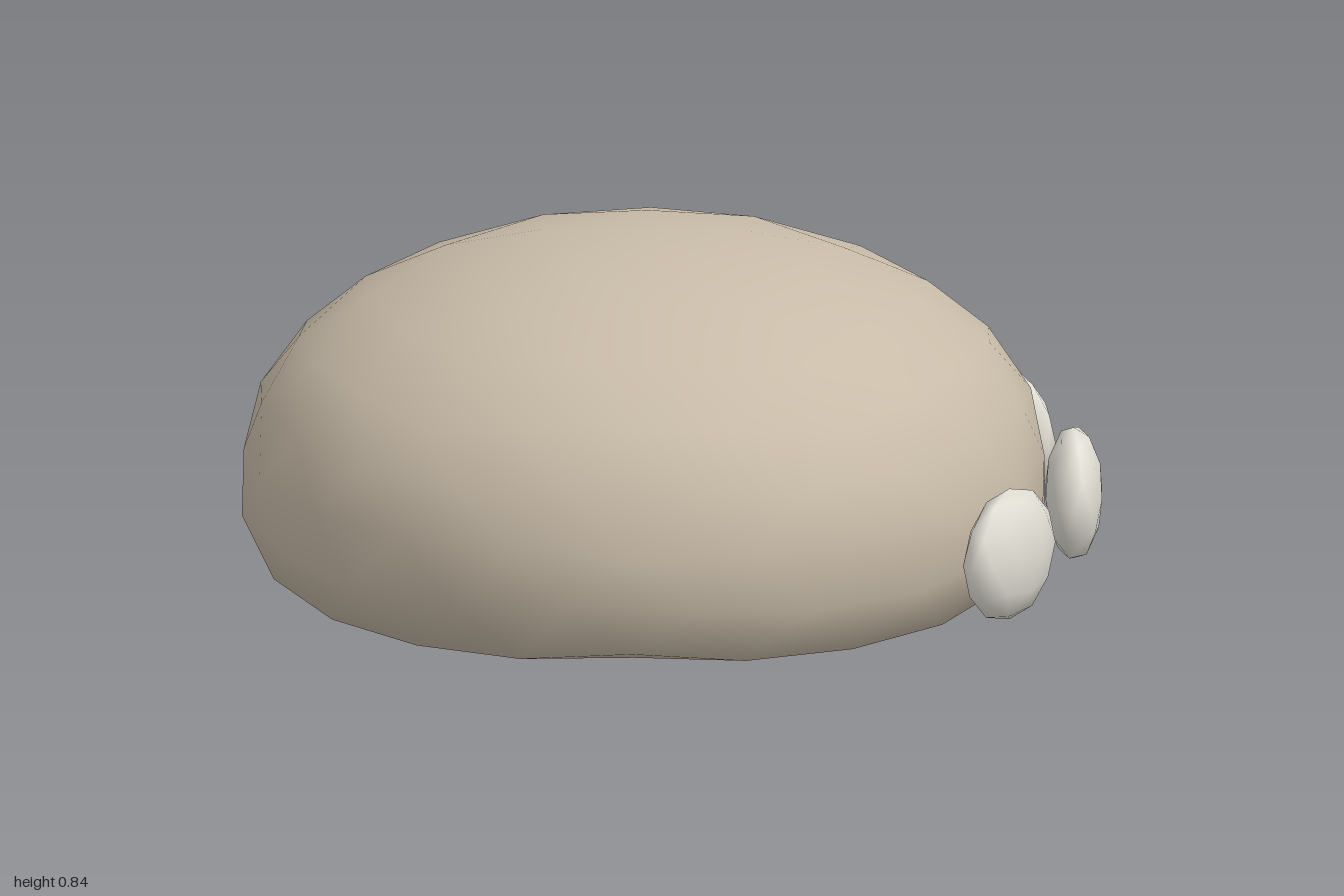
import * as THREE from 'three';
import { mergeVertices } from 'three/addons/utils/BufferGeometryUtils.js';

// Geodesic unit ball with a vertex at each pole; every step halves the edges
function geoBall(steps) {
  const verts = [0, 1, 0];
  const h = 1 / Math.sqrt(5);
  for (const [y, offset] of [[h, 0], [-h, 0.5]]) {
    for (let k = 0; k < 5; k++) {
      const a = (k + offset) * Math.PI * 0.4;
      verts.push(2 * h * Math.cos(a), y, -2 * h * Math.sin(a));
    }
  }
  verts.push(0, -1, 0);
  const faces = [];
  for (let k = 0; k < 5; k++) {
    const n = (k + 1) % 5;
    const u = 1 + k, u2 = 1 + n, l = 6 + k, l2 = 6 + n;
    faces.push(0, u, u2, u, l, u2, l, l2, u2, 11, l2, l);
  }
  let v = verts, f = faces, geo;
  for (let i = 0; i < steps; i++) {
    geo = new THREE.PolyhedronGeometry(v, f, 1, 1);
    geo.deleteAttribute('uv');
    geo.deleteAttribute('normal');
    geo = mergeVertices(geo, 1e-4);
    v = Array.from(geo.attributes.position.array);
    f = Array.from(geo.index.array);
  }
  geo.computeVertexNormals();
  return geo;
}

// Dome: squashed ball, spread below its middle and pressed flat on the ground
function footGeometry() {
  const geo = geoBall(2);
  const p = geo.attributes.position;
  for (let i = 0; i < p.count; i++) {
    const ny = p.getY(i);
    const r = 0.945 * (1 + 0.17 * Math.max(0, -ny));
    let y = 0.3 + 0.54 * ny;
    if (y < 0.02) y = 0.02 + (y - 0.02) * 0.077;
    p.setXYZ(i, p.getX(i) * r, y, p.getZ(i) * r);
  }
  geo.computeVertexNormals();
  return geo;
}

export function createModel() {
  const skin = new THREE.MeshStandardMaterial({ color: 0xc8bba8 });
  skin.name = 'taupe skin';
  const nail = new THREE.MeshStandardMaterial({ color: 0xe2dfd5 });
  nail.name = 'pale nail';

  const model = new THREE.Group();
  model.name = 'foot';

  const pad = new THREE.Mesh(footGeometry(), skin);
  pad.name = 'footPad';
  pad.position.x = -0.06;
  model.add(pad);

  // Four flattened toenails fanned around the +x side
  const nailGeo = geoBall(1);
  const nails = new THREE.Group();
  nails.name = 'toenails';
  for (const side of [-1, 1]) {
    for (const [name, x, z, deg] of [['inner', 0.915, 0.278, 16], ['outer', 0.62, 0.748, 46.5]]) {
      const toe = new THREE.Mesh(nailGeo, nail);
      toe.name = `${name}Toenail`;
      toe.scale.set(0.07, 0.16, 0.18);
      toe.position.set(x, 0.198, side * z);
      toe.rotation.y = -side * THREE.MathUtils.degToRad(deg);
      nails.add(toe);
    }
  }
  model.add(nails);
  return model;
}
